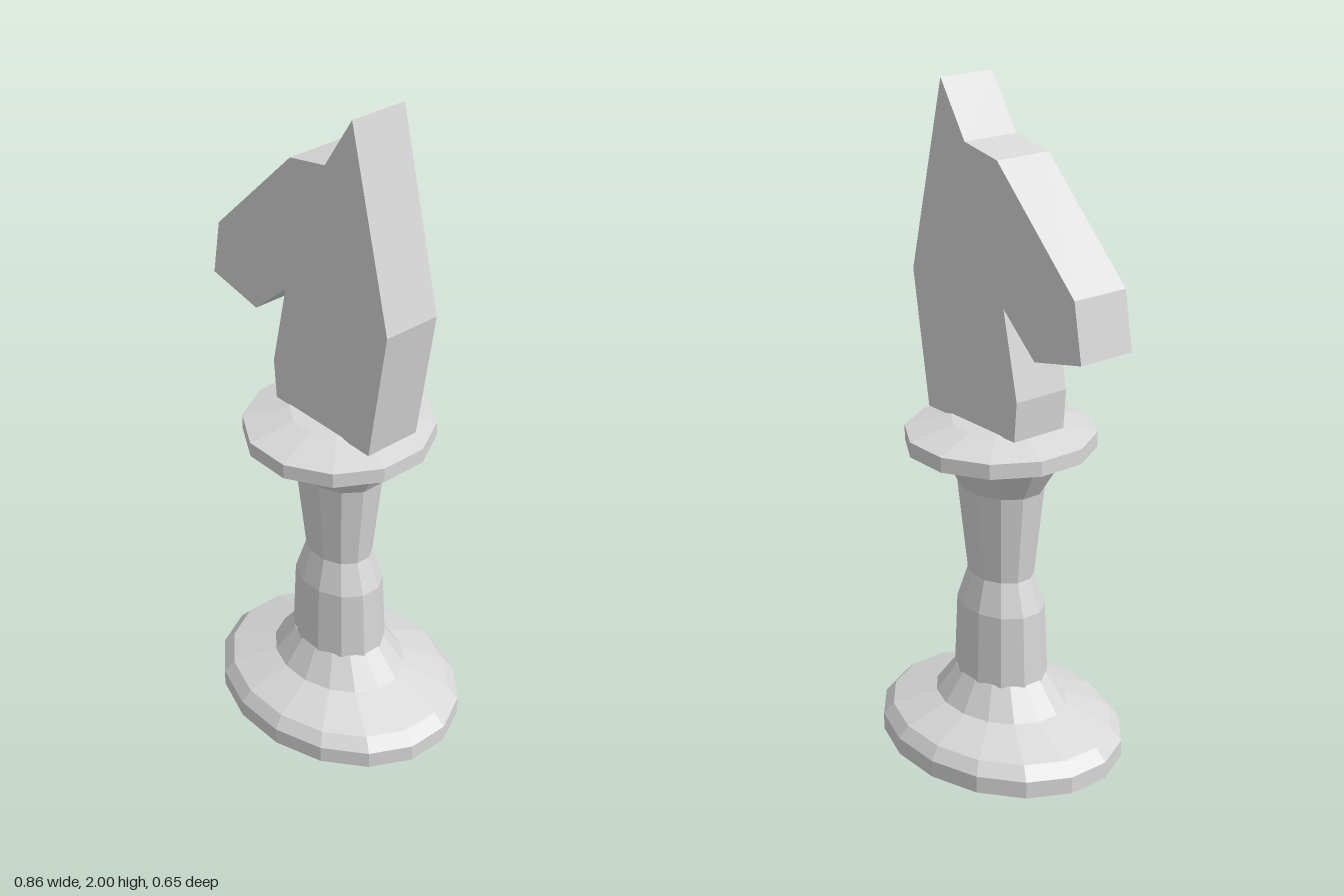
import * as THREE from 'three';

const AXIS_X = 0.017;

// Faceted turned part with an oval plan; radii are measured to the flat sides.
function turned(name, sides, squash, profile, material) {
  const points = profile.map(([r, y]) => new THREE.Vector2(r / Math.cos(Math.PI / sides), y));
  const geometry = new THREE.LatheGeometry(points, sides, Math.PI / sides);
  geometry.scale(1, 1, squash);
  const mesh = new THREE.Mesh(geometry, material);
  mesh.name = name;
  mesh.position.x = AXIS_X;
  return mesh;
}

export function createModel() {
  const group = new THREE.Group();
  group.name = 'chessKnight';
  const paleGrey = new THREE.MeshStandardMaterial({ color: 0xd8d8d8, flatShading: true });
  paleGrey.name = 'paleGrey';

  // Wide oval foot
  group.add(turned('base', 16, 0.8, [
    [0, 0], [0.408, 0], [0.408, 0.053], [0.373, 0.09], [0.222, 0.14], [0.153, 0.23], [0, 0.23],
  ], paleGrey));

  // Waisted stem
  group.add(turned('stem', 12, 0.8, [
    [0.153, 0.225], [0.143, 0.45], [0.108, 0.55], [0.14, 0.83], [0.2, 0.925],
  ], paleGrey));

  // Round collar under the head
  group.add(turned('collar', 12, 1, [
    [0, 0.92], [0.18, 0.92], [0.271, 0.955], [0.271, 1.0], [0.14, 1.033], [0, 1.033],
  ], paleGrey));

  // Flat horse head, muzzle toward -x
  const outline = [
    [-0.155, 1.03], [0.24, 1.025], [0.307, 1.43], [0.165, 2], [0.06, 1.84], [-0.08, 1.813],
    [-0.4, 1.5], [-0.43, 1.33], [-0.24, 1.29], [-0.107, 1.408], [-0.165, 1.15],
  ];
  const shape = new THREE.Shape(outline.map(([x, y]) => new THREE.Vector2(x, y)));
  const geometry = new THREE.ExtrudeGeometry(shape, { depth: 0.18, bevelEnabled: false });
  geometry.translate(0, 0, -0.09);
  const head = new THREE.Mesh(geometry, paleGrey);
  head.name = 'horseHead';
  group.add(head);

  return group;
}
